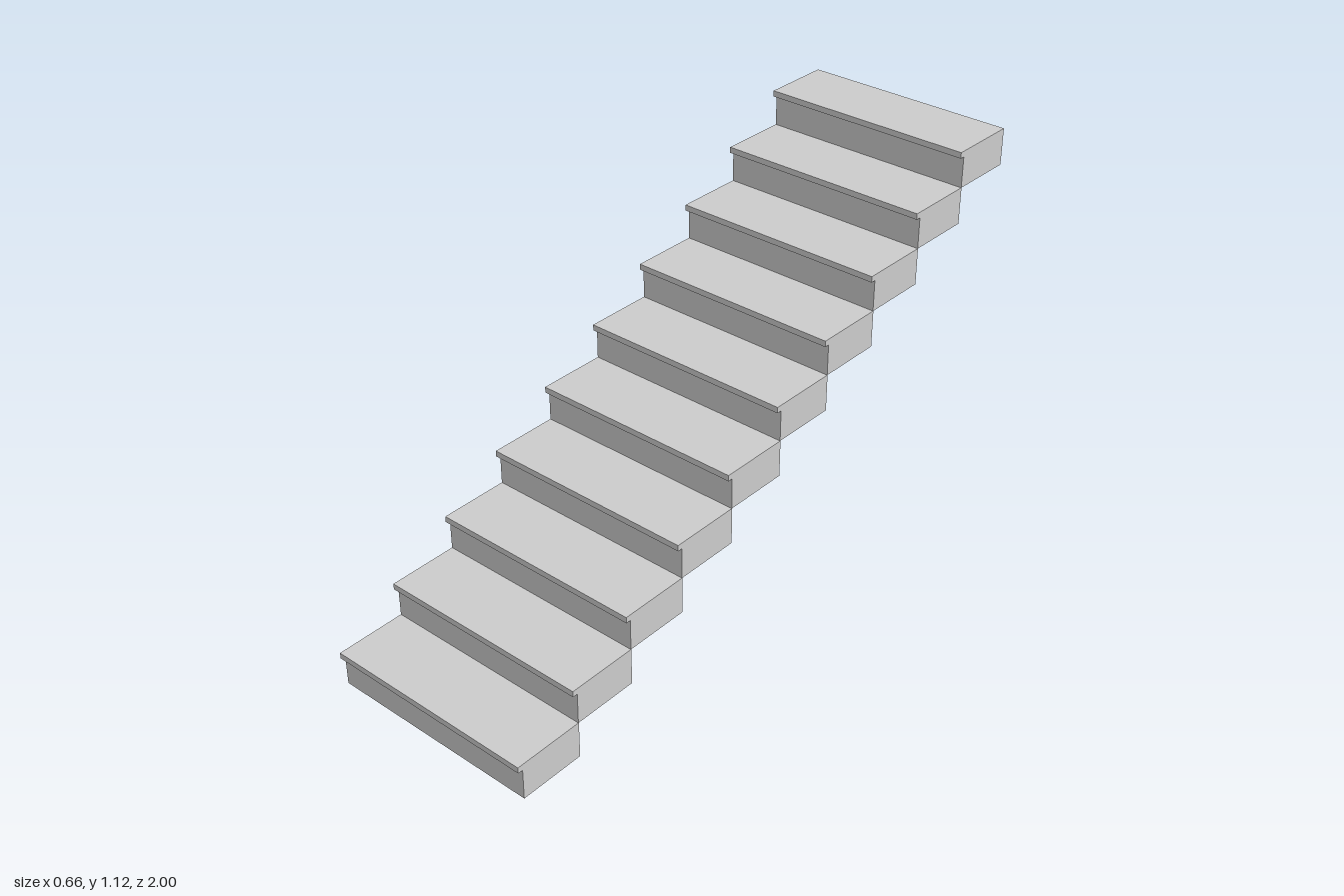
import * as THREE from 'three';

export function createModel() {
  const model = new THREE.Group();
  model.name = 'staircase';

  const steps = 10;
  const width = 0.66;
  const rise = 0.1123;      // height of one step
  const depth = 0.2;        // riser front to open back
  const run = 0.1983;       // forward offset between steps
  const nose = 0.015;       // tread overhang
  const board = 0.018;      // thickness of treads and risers

  const grey = new THREE.MeshStandardMaterial({ color: 0xcccccc, flatShading: true });
  const sheet = new THREE.MeshStandardMaterial({ color: 0xcccccc, flatShading: true, side: THREE.DoubleSide });

  const treadGeo = new THREE.BoxGeometry(width, board, depth + nose);
  const riserGeo = new THREE.BoxGeometry(width, rise - board, board);
  const sideGeo = new THREE.PlaneGeometry(depth - board, rise - board).rotateY(Math.PI / 2);

  const add = (parent, name, geometry, material, x, y, z) => {
    const mesh = new THREE.Mesh(geometry, material);
    mesh.name = name;
    mesh.position.set(x, y, z);
    parent.add(mesh);
  };

  // Each step is open at the bottom and back; its origin is the riser's lower front edge
  for (let i = 0; i < steps; i++) {
    const step = new THREE.Group();
    step.name = `step${i + 1}`;
    step.position.set(0, i * rise, 1 - nose - i * run);
    const midY = (rise - board) / 2;

    add(step, 'tread', treadGeo, grey, 0, rise - board / 2, (nose - depth) / 2);
    add(step, 'riser', riserGeo, grey, 0, midY, -board / 2);

    // Thin cheeks closing both ends
    for (const side of [-1, 1]) {
      add(step, side > 0 ? 'leftSidePanel' : 'rightSidePanel', sideGeo, sheet,
        side * width / 2, midY, -(depth + board) / 2);
    }
    model.add(step);
  }
  return model;
}
